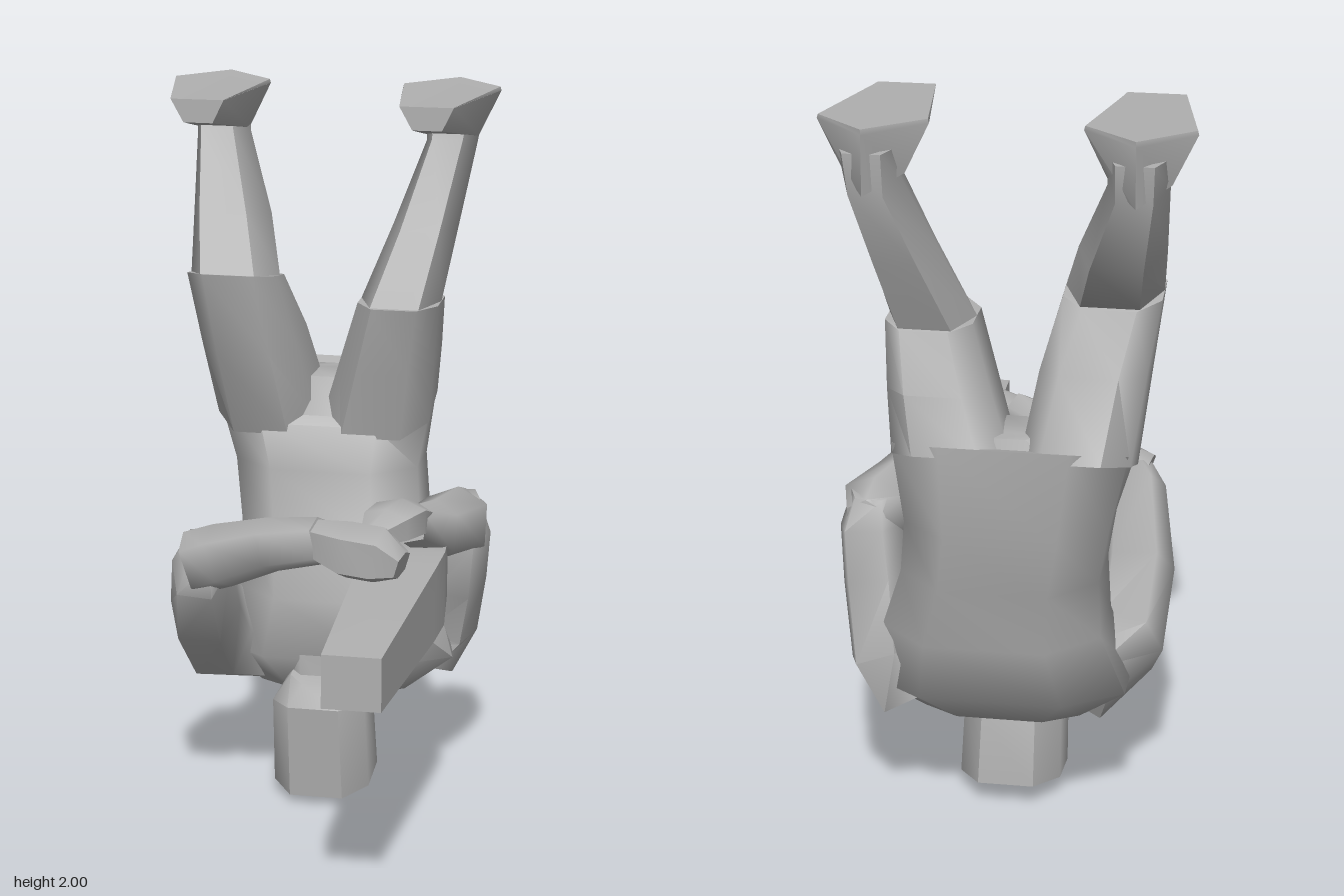
import * as THREE from 'three';
import { toCreasedNormals } from 'three/addons/utils/BufferGeometryUtils.js';

const V = (x, y, z) => new THREE.Vector3(x, y, z);

// Skin a closed, capped surface over rings that share a point count
function loft(rings, crease) {
  const n = rings[0].length, pos = [], idx = [];
  rings.forEach(r => r.forEach(p => pos.push(p.x, p.y, p.z)));
  for (let i = 0; i < rings.length - 1; i++)
    for (let j = 0; j < n; j++) {
      const a = i * n + j, b = i * n + (j + 1) % n;
      idx.push(a, b, b + n, a, b + n, a + n);
    }
  const last = (rings.length - 1) * n;
  for (let j = 1; j < n - 1; j++) idx.push(0, j + 1, j, last, last + j, last + j + 1);
  // Turn the faces outward using the enclosed volume
  let vol = 0;
  const at = k => V(pos[3 * k], pos[3 * k + 1], pos[3 * k + 2]).sub(rings[0][0]);
  for (let i = 0; i < idx.length; i += 3) vol += at(idx[i]).dot(at(idx[i + 1]).cross(at(idx[i + 2])));
  if (vol < 0) idx.reverse();
  const g = new THREE.BufferGeometry();
  g.setAttribute('position', new THREE.Float32BufferAttribute(pos, 3));
  g.setIndex(idx);
  return toCreasedNormals(g, crease);
}

const SQUARE = [[-1, -1], [1, -1], [1, 1], [-1, 1]];
const OCTAGON = [[-1, -.45], [-.55, -1], [.55, -1], [1, -.45], [1, .45], [.55, 1], [-.55, 1], [-1, .45]];
const HEXAGON = [[-1, 0], [-.6, -.9], [.6, -.9], [1, 0], [.6, .9], [-.6, .9]];

// Level section [y, x0, x1, z0, z1, tilt]; tilt raises the rear edge
const level = shape => ([y, x0, x1, z0, z1, tilt = 0]) => shape.map(([u, v]) =>
  V((x0 + x1) / 2 + u * (x1 - x0) / 2, y - v * tilt, (z0 + z1) / 2 + v * (z1 - z0) / 2));

// Upright section [z, x0, x1, y0, y1]
const upright = shape => ([z, x0, x1, y0, y1]) => shape.map(([u, v]) =>
  V((x0 + x1) / 2 + u * (x1 - x0) / 2, (y0 + y1) / 2 + v * (y1 - y0) / 2, z));

// Arm sections [x, y, z, halfWidth, halfDepth] set square to the path
function limbRings(path, side) {
  return path.map((p, i) => {
    const a = path[Math.max(i - 1, 0)], b = path[Math.min(i + 1, path.length - 1)];
    const t = V(b[0] - a[0], b[1] - a[1], b[2] - a[2]).normalize();
    const u = side.clone().addScaledVector(t, -side.dot(t)).normalize();
    const w = t.clone().cross(u);
    return HEXAGON.map(([m, k]) => V(p[0], p[1], p[2])
      .addScaledVector(u, m * p[3]).addScaledVector(w, k * p[4]));
  });
}

export function createModel() {
  const model = new THREE.Group();
  const grey = new THREE.MeshStandardMaterial({ color: 0xb0b0b0 });
  grey.name = 'plain grey';
  const add = (name, rings, crease = 1.0) => {
    const m = new THREE.Mesh(loft(rings, crease), grey);
    m.name = name;
    model.add(m);
  };

  // Upside-down trunk, from shoulders up to pelvis
  add('torso', [
    [.29, -.18, .24, -.48, -.28],
    [.40, -.31, .38, -.60, -.22],
    [.58, -.25, .33, -.66, -.21],
    [.76, -.25, .27, -.70, -.28],
    [.92, -.28, .25, -.73, -.36],
    [1.11, -.33, .28, -.725, -.38, .06]
  ].map(level(OCTAGON)), 1.3);
  add('crotch', [[1.05, -.2, .14, -.68, -.42], [1.17, -.1, .04, -.64, -.48]].map(level(OCTAGON)));

  // Head, crown on the ground
  add('head', [
    [.0, -.03, .06, -.30, -.21],
    [.045, -.115, .16, -.43, -.115, .02],
    [.28, -.115, .15, -.41, -.09, -.02],
    [.36, -.07, .13, -.37, -.15, .01]
  ].map(level(OCTAGON)), .8);
  add('neck', [[.25, -.08, .12, -.40, -.2], [.42, -.1, .14, -.45, -.22]].map(level(OCTAGON)));

  // Legs, each bent at the knee
  add('rightThigh', [
    [1.08, -.335, -.05, -.72, -.38, .06],
    [1.30, -.36, -.085, -.60, -.29, .03],
    [1.49, -.385, -.13, -.48, -.24, -.02]
  ].map(level(OCTAGON)));
  add('leftThigh', [
    [1.08, -.03, .28, -.72, -.38, .06],
    [1.25, .03, .30, -.66, -.33, .03],
    [1.42, .09, .318, -.57, -.29]
  ].map(level(OCTAGON)));
  add('rightShin', [
    [1.49, -.385, -.13, -.48, -.235, -.02],
    [1.64, -.405, -.18, -.63, -.34, -.02],
    [1.85, -.425, -.27, -.73, -.52, -.02],
    [1.93, -.43, -.27, -.74, -.54]
  ].map(level(HEXAGON)));
  add('leftShin', [
    [1.42, .09, .318, -.57, -.29],
    [1.62, .165, .35, -.66, -.39],
    [1.84, .24, .385, -.735, -.52, -.02],
    [1.93, .24, .4, -.74, -.54]
  ].map(level(HEXAGON)));

  // Feet with flat soles on top, kite-shaped from heel to toe
  const foot = (name, cx, skew) => {
    const outline = [[0, -.755], [.14, -.63], [.07, -.295], [-.08, -.295], [-.14, -.63]];
    const ring = (w, yHeel, yToe) => outline.map(([x, z]) => {
      const k = (z + .755) / .46;
      return V(cx + x * w + skew * k, yHeel + (yToe - yHeel) * k, z);
    });
    add(name, [ring(.55, 1.83, 1.925), ring(1, 1.985, 1.99), ring(.98, 2, 1.99)], .7);
  };
  foot('rightFoot', -.355, .01);
  foot('leftFoot', .315, -.02);

  // Right arm reaches forward, then across the front
  add('rightUpperArm', limbRings([
    [-.19, .38, -.42, .08, .12],
    [-.29, .45, -.27, .10, .14],
    [-.295, .59, -.11, .10, .13],
    [-.27, .76, .05, .08, .12],
    [-.255, .82, .08, .05, .07]
  ], V(1, 0, 0)), 1.3);
  add('rightForearm', limbRings([
    [-.285, .77, .07, .09, .08],
    [-.20, .80, .08, .09, .09],
    [-.05, .86, .14, .075, .075],
    [.10, .90, .20, .065, .055]
  ], V(0, 1, 0)), 1.3);
  add('rightHand', limbRings([
    [.08, .90, .19, .055, .05],
    [.18, .89, .235, .08, .075],
    [.26, .88, .235, .08, .075],
    [.325, .86, .25, .04, .045]
  ], V(0, 1, 0)));

  // Left arm folds back close to the trunk
  add('leftUpperArm', limbRings([
    [.28, .37, -.44, .10, .12],
    [.345, .47, -.46, .09, .13],
    [.375, .64, -.39, .09, .13],
    [.395, .78, -.35, .085, .12],
    [.39, .87, -.34, .06, .08]
  ], V(1, 0, 0)), 1.3);
  add('leftForearm', limbRings([
    [.395, .80, -.41, .08, .06],
    [.385, .81, -.32, .10, .10],
    [.34, .83, -.17, .085, .08],
    [.29, .88, -.04, .05, .065]
  ], V(0, 1, 0)), 1.3);
  add('leftHand', limbRings([
    [.30, .88, -.09, .05, .06],
    [.275, .905, -.02, .055, .085],
    [.25, .905, .06, .05, .075],
    [.22, .89, .125, .03, .035]
  ], V(0, 1, 0)));

  // Long tapered gun held between the hands
  add('gun', [
    [-.29, .27, .33, .67, .74],
    [-.2, .22, .38, .63, .79],
    [-.02, .18, .4, .605, .815],
    [.12, .185, .395, .605, .81],
    [.755, .205, .36, .635, .78]
  ].map(upright(SQUARE)), .6);

  return model;
}
